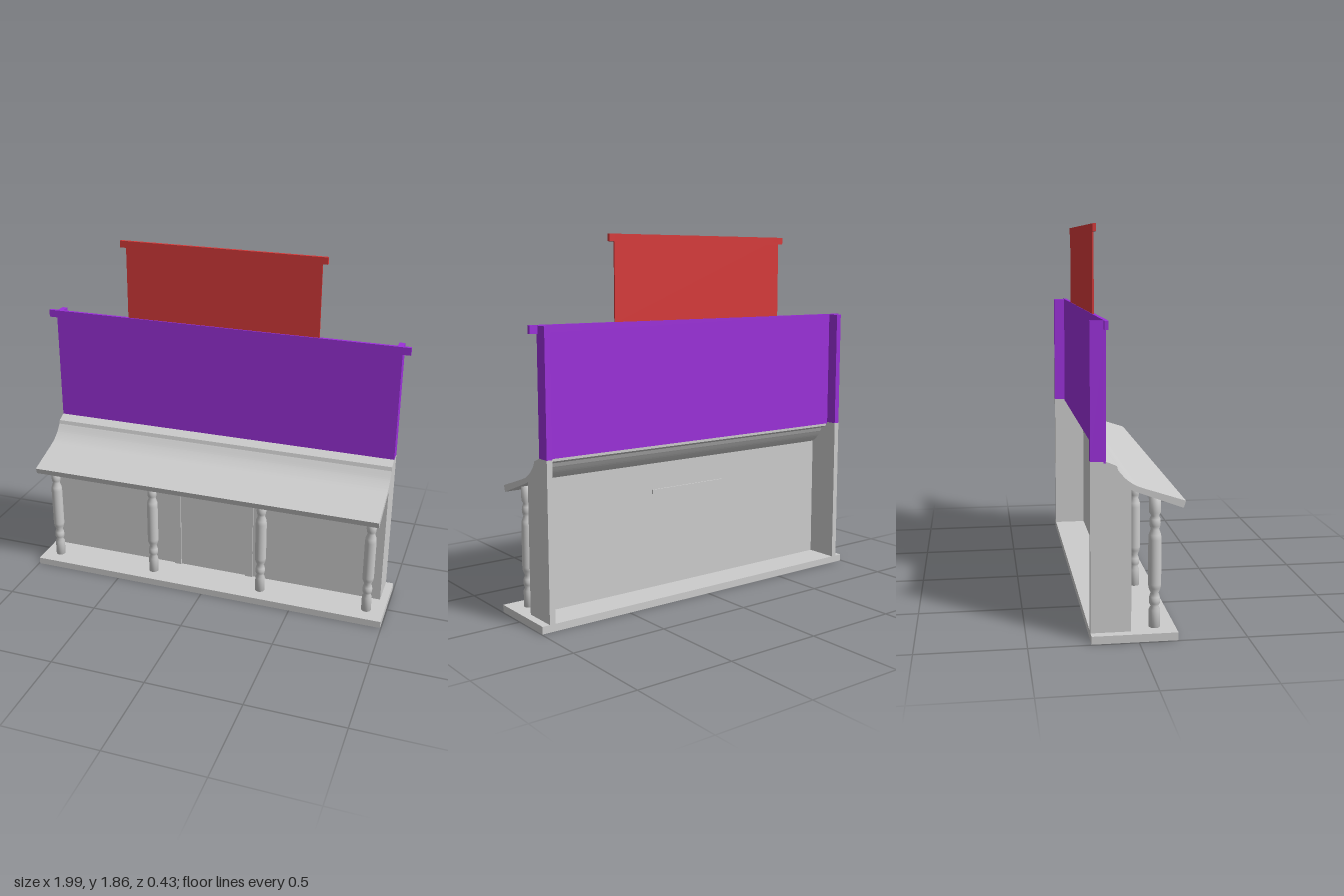
import * as THREE from 'three';

const material = (color) => new THREE.MeshStandardMaterial({ color, side: THREE.DoubleSide });
const grey = material(0xcccccc);
const purple = material(0x9b30d9);
const red = material(0xd63a3a);

export function createModel() {
  const model = new THREE.Group();

  const add = (name, geometry, mat) => {
    const mesh = new THREE.Mesh(geometry, mat);
    mesh.name = name;
    model.add(mesh);
    return mesh;
  };

  // Box given by its limits on each axis
  const box = (name, mat, x0, x1, y0, y1, z0, z1) => {
    const mesh = add(name, new THREE.BoxGeometry(x1 - x0, y1 - y0, z1 - z0), mat);
    mesh.position.set((x0 + x1) / 2, (y0 + y1) / 2, (z0 + z1) / 2);
  };

  // Side profile of [z, y] points, extruded along x from x0 to x1
  const profile = (name, points, x0, x1) => {
    const shape = new THREE.Shape(points.map(([z, y]) => new THREE.Vector2(-z, y)));
    const geometry = new THREE.ExtrudeGeometry(shape, { depth: x1 - x0, bevelEnabled: false });
    geometry.rotateY(Math.PI / 2).translate(x0, 0, 0);
    add(name, geometry, grey);
  };

  // Boardwalk and front wall
  box('floor', grey, -0.995, 0.995, 0, 0.037, -0.215, 0.18);
  box('frontWall', grey, -0.95, 0.95, 0.037, 0.7, -0.04, -0.03);

  // Door frame
  box('doorLintel', grey, -0.24, 0.235, 0.537, 0.56, -0.047, -0.012);
  for (const s of [-1, 1]) {
    const x = s * 0.212;
    box('doorJamb', grey, x - 0.02, x + 0.02, 0.037, 0.537, -0.03, -0.021);
  }

  // Swept porch roof: upper curve out to the eave, lower curve back
  const sweep = (points) => new THREE.SplineCurve(points.map((p) => new THREE.Vector2(...p)))
    .getPoints(16).map((p) => [p.x, p.y]);
  const upper = sweep([[-0.09, 0.782], [-0.057, 0.744], [-0.017, 0.715], [0.02, 0.699]]);
  const lower = sweep([[0.007, 0.676], [-0.03, 0.692], [-0.07, 0.722], [-0.102, 0.765]]);
  const roofTop = [[-0.145, 0.823], [-0.096, 0.802], ...upper];
  profile('porchRoof', [...roofTop, [0.216, 0.635], [0.206, 0.603], ...lower,
    [-0.112, 0.785], [-0.145, 0.8]], -0.955, 0.955);

  for (const s of [-1, 1]) {
    // Side walls rising to the roof curve
    const x = s * 0.94;
    profile('sideWall', [[-0.215, 0.037], [-0.215, 0.823], [-0.145, 0.823], [-0.1, 0.8],
      [-0.09, 0.775], [-0.057, 0.738], [-0.03, 0.715], [-0.03, 0.037]], x - 0.015, x + 0.015);
    // Returns behind the upper facade
    box('facadeReturn', purple, x - 0.015, x + 0.015, 0.823, 1.44, -0.215, -0.145);
  }

  // Upper facade and its cornice
  box('facade', purple, -0.955, 0.955, 0.815, 1.44, -0.155, -0.145);
  box('facadeCornice', purple, -0.997, 0.997, 1.403, 1.443, -0.155, -0.138);

  // Raised sign board and its cornice
  box('signBoard', red, -0.525, 0.53, 1.44, 1.86, -0.153, -0.145);
  box('signCornice', red, -0.555, 0.558, 1.826, 1.862, -0.153, -0.137);

  // Turned porch posts
  const turned = [[0, 0.037], [0.026, 0.037], [0.026, 0.12], [0.018, 0.135], [0.025, 0.15],
    [0.026, 0.165], [0.024, 0.18], [0.018, 0.198], [0.028, 0.222], [0.03, 0.24],
    [0.03, 0.45], [0.028, 0.472], [0.019, 0.497], [0.024, 0.512], [0.026, 0.528],
    [0.024, 0.545], [0.018, 0.56], [0.027, 0.575], [0.027, 0.645], [0, 0.645]]
    .map(([r, y]) => new THREE.Vector2(r, y));
  for (const x of [-0.905, -0.318, 0.31, 0.9]) {
    add('porchPost', new THREE.LatheGeometry(turned, 24), grey).position.set(x, 0, 0.085);
  }

  return model;
}
